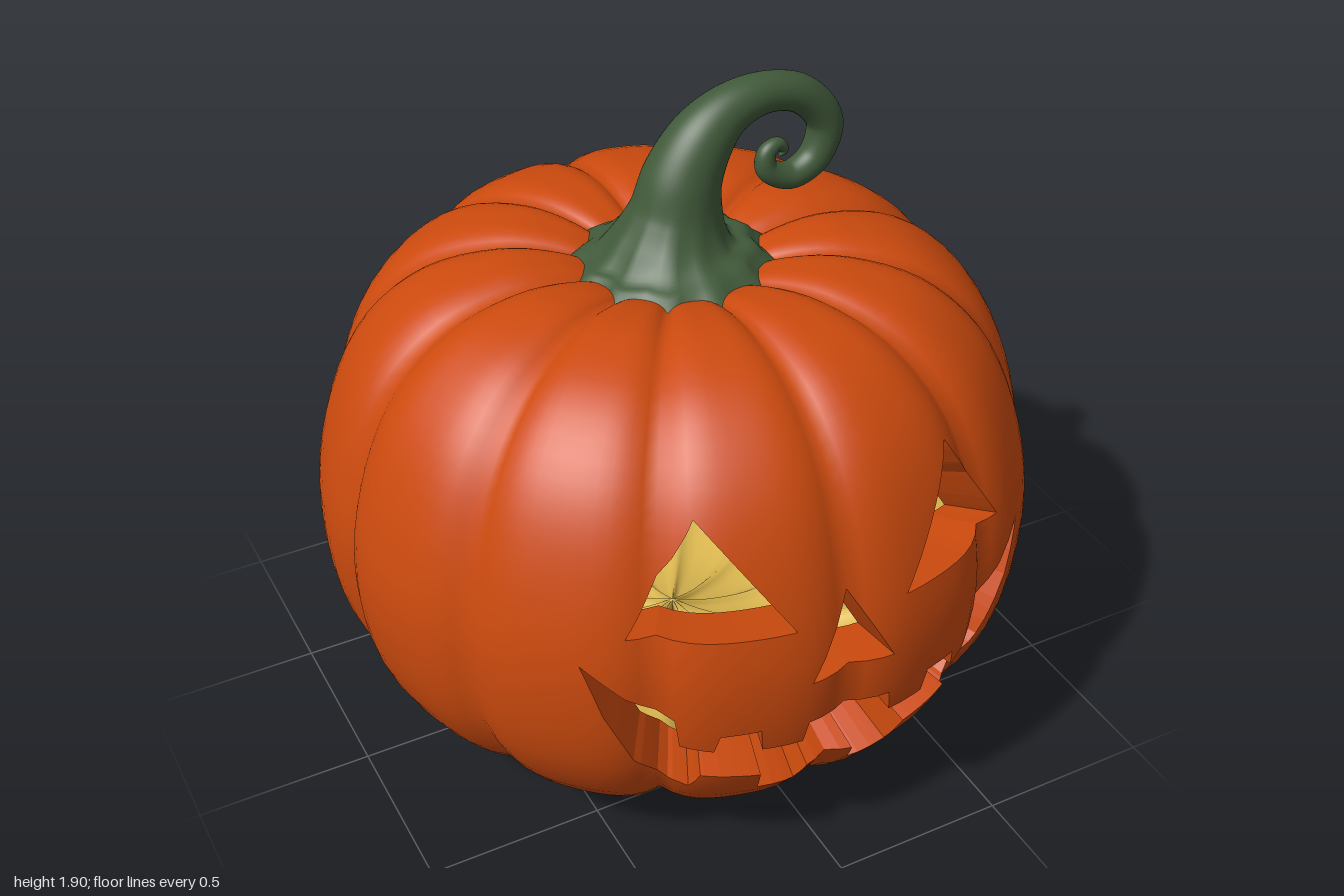
import * as THREE from 'three';

const CENTER_Y = 0.72, WALL = 0.85, AROUND = 144, UP = 56;

// Half profile of the body (radius, height), bottom to top
const profile = new THREE.SplineCurve([
  [0, 0.09], [0.15, 0.03], [0.36, 0], [0.6, 0.05], [0.8, 0.17], [0.96, 0.42], [1.008, 0.72],
  [0.965, 1.0], [0.86, 1.24], [0.69, 1.395], [0.48, 1.455], [0.3, 1.44], [0.15, 1.38], [0, 1.35],
].map(([r, y]) => new THREE.Vector2(r, y)));

// Ribbed skin: twelve lobes with narrow valleys
function skinPoint(theta, t) {
  const p = profile.getPoint(t);
  const s = 1 - 0.04 * Math.pow(1 - Math.abs(Math.sin(6 * theta)), 2);
  const r = Math.max(p.x, 0) * s;
  return new THREE.Vector3(r * Math.sin(theta), CENTER_Y + (p.y - CENTER_Y) * s, r * Math.cos(theta));
}

// Position and normal packed in one array, so cuts interpolate both
function skinVertex(i, j) {
  const th = (i / AROUND) * Math.PI * 2, t = j / UP, e = 0.008;
  const tc = Math.min(Math.max(t, 0.006), 0.994);
  const du = skinPoint(th + e, tc).sub(skinPoint(th - e, tc));
  const dv = skinPoint(th, tc + 0.005).sub(skinPoint(th, tc - 0.005));
  return [...skinPoint(th, t).toArray(), ...du.cross(dv).normalize().toArray()];
}

// Carved openings as convex counter-clockwise pieces; walls lists the edges that get a cut face
function makeHoles() {
  const holes = [{ pts: [[0, 0.95], [-0.12, 0.73], [0.12, 0.73]], walls: [0, 1, 2] }];
  for (const s of [-1, 1]) {
    const eye = [[s * 0.36, 1.2], [s * 0.55, 0.9], [s * 0.16, 0.9]];
    holes.push({ pts: s < 0 ? eye : eye.reverse(), walls: [0, 1, 2] });
  }
  // Toothed lips, from the mouth corner to the middle
  const upper = [[-0.655, 0.82], [-0.56, 0.72], [-0.45, 0.645], [-0.435, 0.55], [-0.36, 0.535], [-0.35, 0.595],
    [-0.25, 0.6], [-0.24, 0.525], [-0.13, 0.52], [-0.12, 0.59], [0, 0.59]];
  const lower = [[-0.655, 0.82], [-0.61, 0.66], [-0.53, 0.48], [-0.43, 0.37], [-0.385, 0.345], [-0.375, 0.42],
    [-0.22, 0.39], [-0.2, 0.29], [-0.085, 0.27], [-0.07, 0.345], [0, 0.345]];
  const at = (line, x) => {
    const k = Math.max(1, line.findIndex((p) => p[0] >= x));
    const [a, b] = [line[k - 1], line[k]];
    return a[1] + (b[1] - a[1]) * (x - a[0]) / (b[0] - a[0]);
  };
  const xs = [...new Set([...upper, ...lower].map((p) => p[0]))].sort((a, b) => a - b);
  for (let k = 1; k < xs.length; k++) {
    const [a, b] = [xs[k - 1], xs[k]];
    const strip = [[b, at(upper, b)], [a, at(upper, a)], [a, at(lower, a)], [b, at(lower, b)]];
    holes.push({ pts: strip, walls: [0, 2] });
    holes.push({ pts: strip.map(([x, y]) => [-x, y]).reverse(), walls: [0, 2] });
  }
  return holes;
}

const side = (a, b, p) =>
  ((b[0] - a[0]) * (p[1] - a[1]) - (b[1] - a[1]) * (p[0] - a[0])) / Math.hypot(b[0] - a[0], b[1] - a[1]);

// Splits a convex polygon by the line a-b into its left and right parts
function split(poly, a, b) {
  const left = [], right = [];
  poly.forEach((p, k) => {
    const q = poly[(k + 1) % poly.length], dp = side(a, b, p), dq = side(a, b, q);
    if (dp >= 0) left.push(p);
    if (dp <= 0) right.push(p);
    if (dp * dq < 0) {
      const m = p.map((v, n) => v + (q[n] - v) * dp / (dp - dq));
      left.push(m);
      right.push(m);
    }
  });
  return [left, right];
}

// Cuts one hole from a polygon, returning what is left and reporting the cut edges
function subtract(poly, hole, onCut) {
  const n = hole.pts.length, kept = [];
  let rest = poly;
  for (let k = 0; k < n && rest.length > 2; k++) {
    const a = hole.pts[k], b = hole.pts[(k + 1) % n];
    if (Math.hypot(b[0] - a[0], b[1] - a[1]) < 1e-6) continue;
    const [inside, outside] = split(rest, a, b);
    if (outside.length > 2) kept.push(outside);
    rest = inside;
  }
  if (rest.length < 3) return [poly];
  for (const k of hole.walls) {
    const a = hole.pts[k], b = hole.pts[(k + 1) % n];
    if (Math.hypot(b[0] - a[0], b[1] - a[1]) < 1e-6) continue;
    rest.forEach((p, m) => {
      const q = rest[(m + 1) % rest.length];
      if (Math.abs(side(a, b, p)) < 1e-7 && Math.abs(side(a, b, q)) < 1e-7) onCut(p, q);
    });
  }
  return kept;
}

const inward = (p) => [p[0] * WALL, CENTER_Y + (p[1] - CENTER_Y) * WALL, p[2] * WALL, -p[3], -p[4], -p[5]];

function buildMesh(name, corners, material, flat) {
  const g = new THREE.BufferGeometry();
  g.setAttribute('position', new THREE.Float32BufferAttribute(corners.flatMap((p) => p.slice(0, 3)), 3));
  if (flat) g.computeVertexNormals();
  else g.setAttribute('normal', new THREE.Float32BufferAttribute(corners.flatMap((p) => p.slice(3, 6)), 3));
  const mesh = new THREE.Mesh(g, material);
  mesh.name = name;
  return mesh;
}

// Hollow carved body: skin, lining and the cut faces between them
function createBody(skinMat, liningMat, glowMat) {
  const skin = [], lining = [], glow = [], cuts = [], holes = makeHoles();
  const onCut = (a, b) => {
    const c = inward(a), d = inward(b);
    cuts.push(a, b, d, a, d, c);
  };
  const grid = Array.from({ length: AROUND + 1 }, (_, i) =>
    Array.from({ length: UP + 1 }, (_, j) => skinVertex(i, j)));
  for (let i = 0; i < AROUND; i++) for (let j = 0; j < UP; j++) {
    const a = grid[i][j], b = grid[i + 1][j], c = grid[i + 1][j + 1], d = grid[i][j + 1];
    for (const tri of [[a, b, c], [a, c, d]]) {
      let polys = [tri];
      if (tri.every((p) => p[2] > 0.3 && p[1] > 0.15 && p[1] < 1.32)) {
        for (const hole of holes) polys = polys.flatMap((poly) => subtract(poly, hole, onCut));
      }
      for (const poly of polys) for (let k = 2; k < poly.length; k++) {
        const f = [poly[0], poly[k - 1], poly[k]], inner = f.map(inward).reverse();
        const y = inner[0][1];
        skin.push(...f);
        (y > 0.85 && y < 1.04 ? glow : lining).push(...inner);
      }
    }
  }
  const body = new THREE.Group();
  body.name = 'body';
  body.add(buildMesh('skin', skin, skinMat), buildMesh('lining', lining, liningMat),
    buildMesh('liningBand', glow, glowMat), buildMesh('carvedEdges', cuts, skinMat, true));
  return body;
}

// Curled stem: centre line x, y with the radius as third value
function createStem(material) {
  const path = new THREE.CatmullRomCurve3([
    [0, 1.39, 0.285], [0, 1.435, 0.235], [0, 1.48, 0.168], [0.01, 1.55, 0.128], [0.03, 1.65, 0.108],
    [0.09, 1.755, 0.088], [0.17, 1.818, 0.068], [0.275, 1.84, 0.056], [0.385, 1.81, 0.053], [0.462, 1.715, 0.051],
    [0.435, 1.615, 0.046], [0.36, 1.575, 0.04], [0.287, 1.61, 0.032], [0.285, 1.66, 0.026],
    [0.318, 1.678, 0.019], [0.338, 1.655, 0.013], [0.325, 1.64, 0.004],
  ].map((p) => new THREE.Vector3(...p)));
  const rings = 110, sides = 48, pos = [], index = [];
  for (let i = 0; i <= rings; i++) {
    const c = path.getPoint(i / rings), t = path.getTangent(i / rings).setZ(0).normalize();
    const flute = 0.06 * Math.max(0, 1 - i / 26);
    for (let j = 0; j < sides; j++) {
      const a = (j / sides) * Math.PI * 2, r = c.z * (1 + flute * Math.cos(12 * a));
      pos.push(c.x - t.y * r * Math.cos(a), c.y + t.x * r * Math.cos(a), r * Math.sin(a));
      if (i === rings) continue;
      const p = i * sides + j, q = i * sides + (j + 1) % sides;
      index.push(p, q, q + sides, p, q + sides, p + sides);
    }
  }
  const g = new THREE.BufferGeometry();
  g.setAttribute('position', new THREE.Float32BufferAttribute(pos, 3));
  g.setIndex(index);
  g.computeVertexNormals();
  const stem = new THREE.Mesh(g, material);
  stem.name = 'stem';
  return stem;
}

export function createModel() {
  const mat = (name, color) => Object.assign(new THREE.MeshStandardMaterial({ color }), { name });
  const model = new THREE.Group();
  model.name = 'carvedPumpkin';
  model.add(
    createBody(mat('pumpkin orange', 0xcc4a0e), mat('lining yellow', 0xdcb850), mat('lining orange', 0xde8a46)),
    createStem(mat('stem green', 0x415a3a)));
  return model;
}
